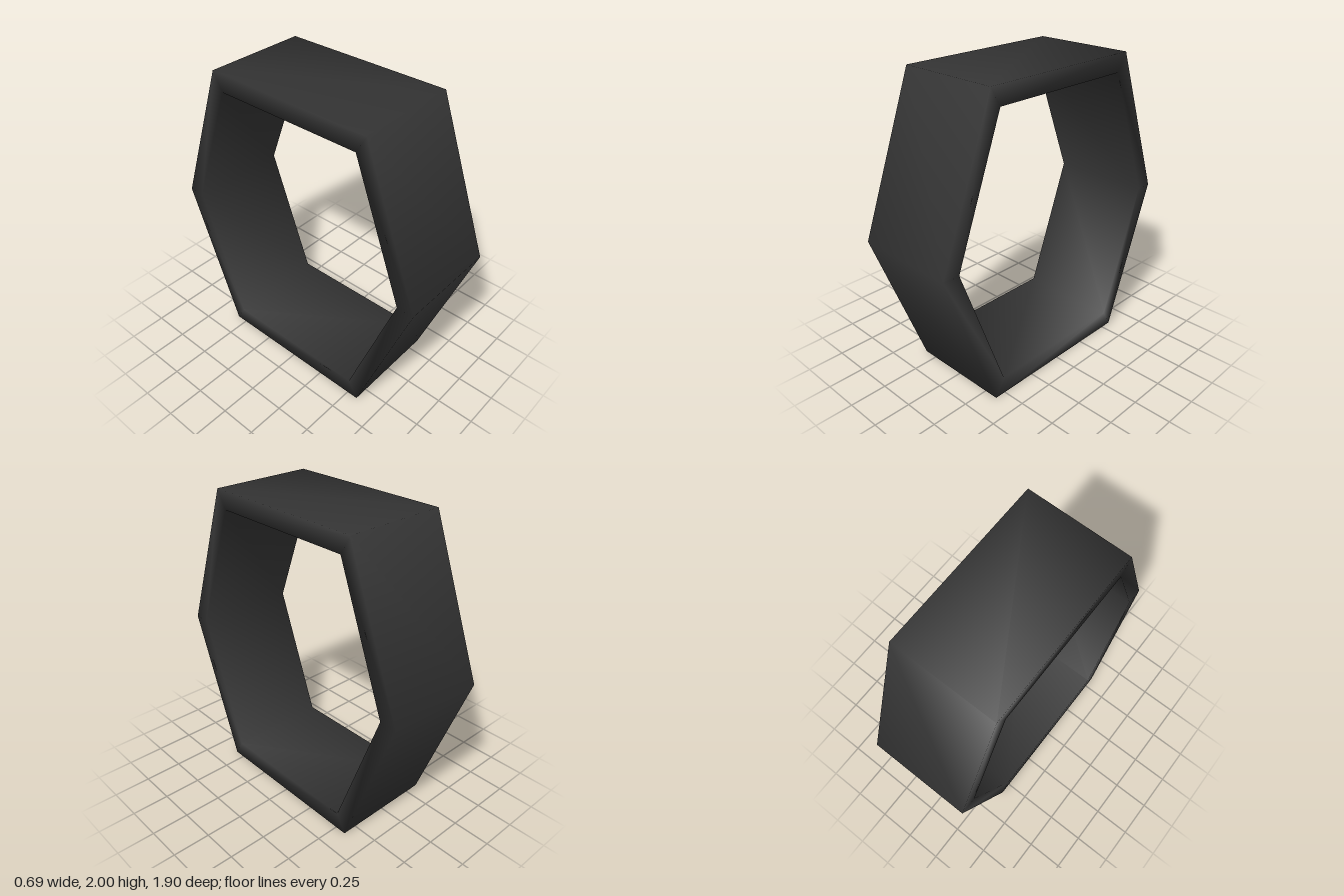
import * as THREE from 'three';

export function createModel() {
  const group = new THREE.Group();
  const halfWidth = 0.347;
  const innerScale = 0.88;
  // Hexagon outline as [z, y] about the ring's centre
  const outline = [[0.95, 0], [0.577, 1], [-0.577, 1], [-0.95, 0], [-0.577, -1], [0.577, -1]];

  // One rectangular cross-section per hexagon corner
  const positions = [];
  for (const [z, y] of outline) {
    for (const [x, s] of [[halfWidth, 1], [-halfWidth, 1], [-halfWidth, innerScale], [halfWidth, innerScale]]) {
      positions.push(x, 1 + y * s, z * s);
    }
  }

  // Join neighbouring cross-sections; shared corners give soft shading
  const indices = [];
  for (let i = 0; i < 6; i++) {
    for (let j = 0; j < 4; j++) {
      const k = (j + 1) % 4, next = (i + 1) % 6;
      const a = i * 4 + j, b = i * 4 + k, c = next * 4 + k, d = next * 4 + j;
      indices.push(a, d, c, a, c, b);
    }
  }

  const geometry = new THREE.BufferGeometry();
  geometry.setAttribute('position', new THREE.Float32BufferAttribute(positions, 3));
  geometry.setIndex(indices);
  geometry.computeVertexNormals();

  const ring = new THREE.Mesh(geometry, new THREE.MeshStandardMaterial({ color: 0x333333 }));
  ring.name = 'hexagonalRing';
  group.add(ring);
  return group;
}
